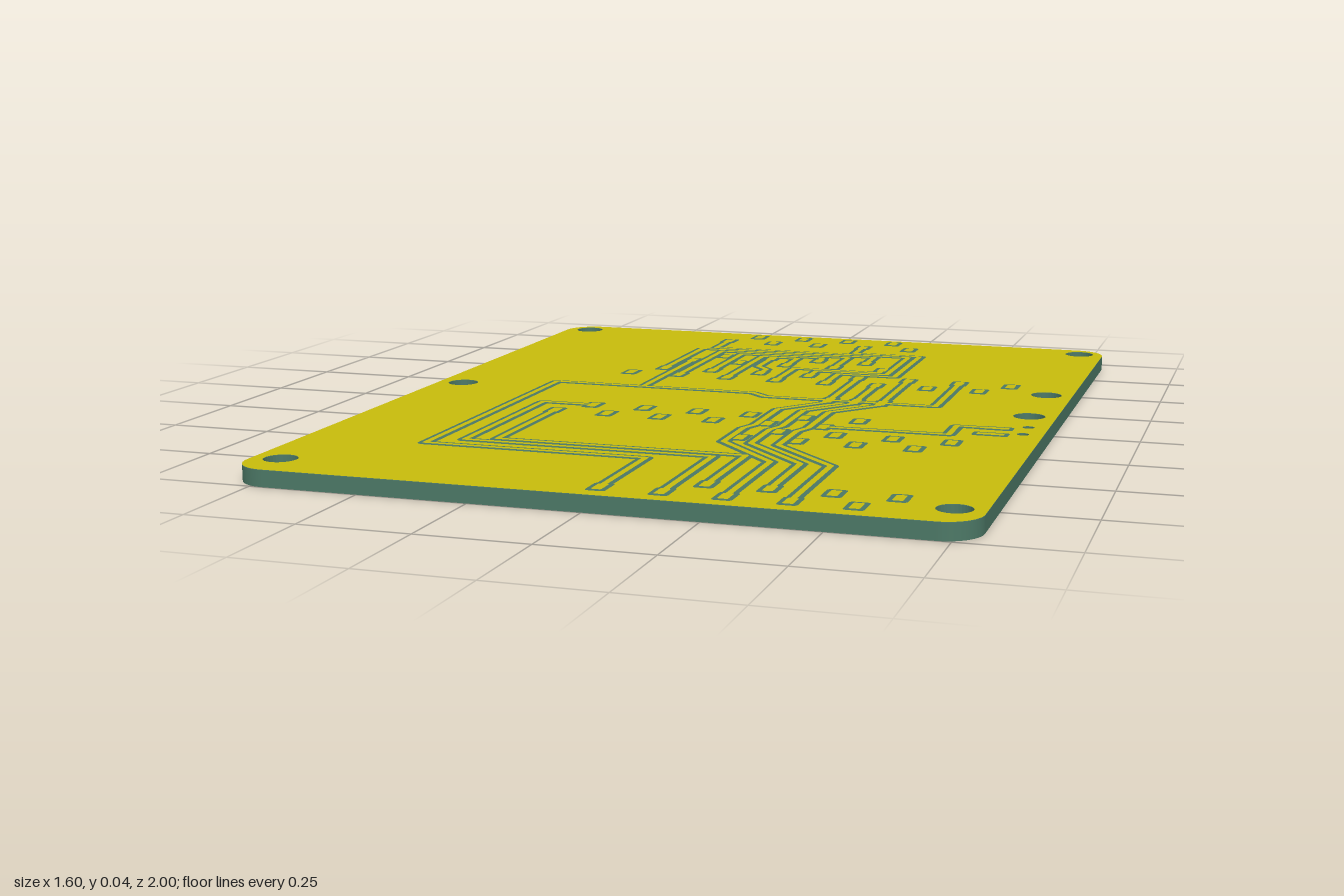
import * as THREE from 'three';
import { mergeGeometries } from 'three/addons/utils/BufferGeometryUtils.js';

const GREEN = 0x4c7866, YELLOW = 0xc8bc0c;
const BOARD_TOP = 0.037, COPPER_Y = 0.038, GROOVE_Y = 0.039, TRACK_Y = 0.04;
const PITCH = 0.1335;

// Rectangle with rounded corners, centred on (x, z); shapes are drawn with y = -z
function roundedRect(x, z, w, h, r) {
  const s = new THREE.Shape(), a = w / 2 - r, b = h / 2 - r, y = -z;
  s.absarc(x + a, y + b, r, 0, Math.PI / 2);
  s.absarc(x - a, y + b, r, Math.PI / 2, Math.PI);
  s.absarc(x - a, y - b, r, Math.PI, Math.PI * 1.5);
  s.absarc(x + a, y - b, r, Math.PI * 1.5, Math.PI * 2);
  s.closePath();
  return s;
}

// Straight strip with round ends from a to b
function strip([x1, z1], [x2, z2], w) {
  const s = new THREE.Shape(), t = Math.atan2(z1 - z2, x2 - x1), q = Math.PI / 2;
  s.absarc(x2, -z2, w / 2, t - q, t + q);
  s.absarc(x1, -z1, w / 2, t + q, t + 3 * q);
  s.closePath();
  return s;
}

// Board outline with its drilled holes
function outline() {
  const s = roundedRect(0, 0, 1.6, 2, 0.08);
  const drill = (x, z, r) => s.holes.push(new THREE.Path().absarc(x, -z, r, 0, Math.PI * 2, true));
  for (const x of [-0.735, 0.735])
    for (const z of [-0.938, -0.035, 0.893]) drill(x, z, 0.038);
  drill(0.735, -0.31, 0.038);
  drill(0.753, 0.093, 0.014);
  drill(0.753, 0.172, 0.014);
  return s;
}

// Rows of pads: z, first x, count
const padRows = [
  [-0.943, -0.2, 4], [-0.856, -0.268, 5],
  [-0.608, -0.2, 4], [-0.522, -0.268, 5],
  [-0.388, -0.302, 8], [-0.302, -0.368, 8],
  [0.148, -0.302, 6], [0.235, -0.368, 6],
  [0.315, 0.216, 4], [0.4, 0.15, 4],
  [0.848, 0.216, 4], [0.935, 0.016, 5],
];

// Tracks on the rear part of the board, as [x, z] points
const rearTracks = [
  [[0.132, -0.83], [0.132, -0.755], [0.318, -0.755], [0.318, -0.43], [0.167, -0.43], [0.167, -0.32]],
  [[-0.268, -0.83], [-0.268, -0.731], [0.291, -0.731], [0.291, -0.457], [0.1, -0.457], [0.1, -0.41]],
  [[-0.302, -0.41], [-0.302, -0.706], [0.2, -0.706], [0.2, -0.62]],
  [[-0.235, -0.32], [-0.235, -0.681], [0.132, -0.681], [0.132, -0.54]],
  [[-0.168, -0.41], [-0.168, -0.655], [0.066, -0.655], [0.066, -0.62]],
  [[-0.101, -0.32], [-0.101, -0.63], [0, -0.63], [0, -0.54]],
  [[-0.035, -0.41], [-0.035, -0.443], [-0.068, -0.48], [-0.068, -0.6]],
  [[0.033, -0.32], [0.033, -0.478], [0.266, -0.478], [0.266, -0.52]],
  [[-0.268, -0.52], [-0.268, -0.115]],
];

// Tracks on the middle and front part of the board
const frontTracks = [
  [[0.016, 0.92], [0.016, 0.66], [-0.505, 0.66], [-0.505, -0.115], [0.026, -0.115],
    [0.068, -0.077], [0.5, -0.077], [0.5, -0.37]],
  [[0.15, 0.92], [0.15, 0.604], [-0.435, 0.604], [-0.435, 0.148], [-0.31, 0.148]],
  [[0.216, 0.83], [0.216, 0.575], [-0.368, 0.575], [-0.368, 0.25]],
  [[0.302, 0.235], [0.593, 0.231], [0.593, 0.132], [0.66, 0.132]],
];

// Three parallel bus tracks: rear pad z, front pad z
[[-0.37, 0.92], [-0.32, 0.83], [-0.37, 0.92]].forEach(([rear, front], i) => {
  const mid = 0.233 + i * 0.0667, bend = 0.143 + i * 0.0635;
  frontTracks.push([
    [mid, rear], [mid, -0.05], [bend, 0.066], [bend, 0.257],
    [bend - 0.016, 0.3], [bend - 0.016, 0.453], [mid + 0.05, 0.617], [mid + 0.05, front],
  ]);
});

export function createModel() {
  const model = new THREE.Group();
  const green = new THREE.MeshStandardMaterial({ color: GREEN });
  const yellow = new THREE.MeshStandardMaterial({ color: YELLOW });

  const add = (name, geometry, material, y) => {
    geometry.rotateX(-Math.PI / 2);
    const mesh = new THREE.Mesh(geometry, material);
    mesh.name = name;
    mesh.position.y = y;
    model.add(mesh);
  };
  const flat = (shapes, seg = 4) => mergeGeometries(shapes.map(s => new THREE.ShapeGeometry(s, seg)));

  // Substrate and the copper sheet on top
  add('substrate', new THREE.ExtrudeGeometry(outline(), {
    depth: BOARD_TOP, bevelEnabled: false, curveSegments: 16 }), green, 0);
  add('copperSheet', flat([outline()], 16), yellow, COPPER_Y);

  // Pad list: x, z, width, length
  const pads = padRows.flatMap(([z, x0, n]) =>
    Array.from({ length: n }, (_, i) => [x0 + i * PITCH, z, 0.044, 0.068]));
  for (let i = 0; i < 3; i++) pads.push([0.233 + i * 0.0667, -0.077, 0.044, 0.08]);
  for (const z of [0.132, 0.198]) pads.push([0.683, z, 0.084, 0.04]);

  const padShapes = inset => pads.map(([x, z, w, h]) =>
    roundedRect(x, z, w - inset, h - inset, inset ? 0.004 : 0.009));
  const trackShapes = width => [...rearTracks, ...frontTracks].flatMap(points =>
    points.slice(1).map((p, i) => strip(points[i], p, width)));

  // Isolation grooves, then the pads and tracks they surround
  add('padGrooves', flat(padShapes(0)), green, GROOVE_Y);
  add('trackGrooves', flat(trackShapes(0.035)), green, GROOVE_Y);
  add('pads', flat(padShapes(0.021)), yellow, TRACK_Y);
  add('tracks', flat(trackShapes(0.014)), yellow, TRACK_Y);

  return model;
}
